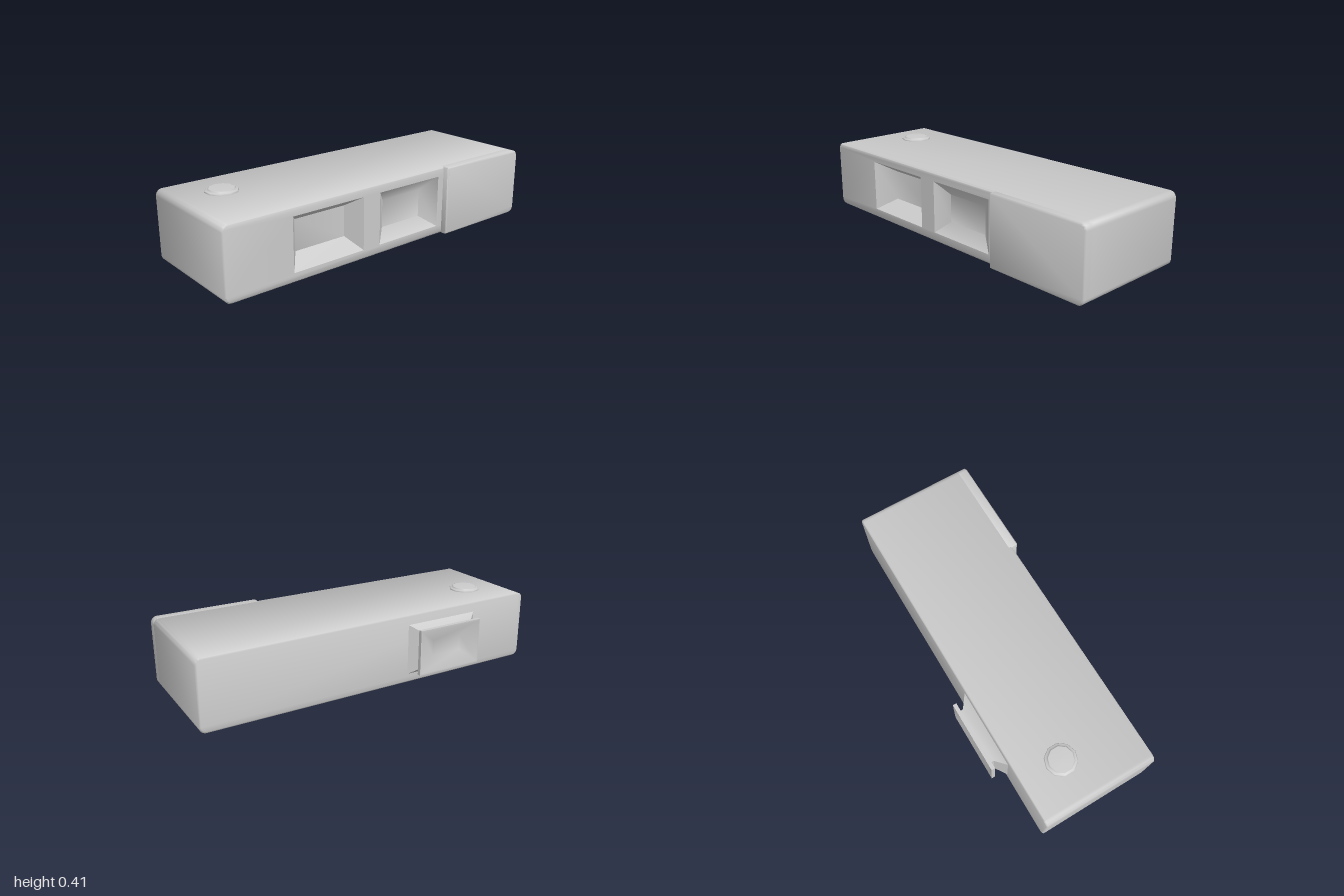
import * as THREE from 'three';
import { mergeGeometries, toCreasedNormals } from 'three/addons/utils/BufferGeometryUtils.js';

const material = new THREE.MeshStandardMaterial({ color: 0xcccccc });

// Counter-clockwise rectangle outline; rl and rr round its left and right corners.
function outline(x0, x1, y0, y1, rl = 0, rr = rl) {
  const points = [];
  const corners = [[x1, y0, rr, -1, 1], [x1, y1, rr, -1, -1], [x0, y1, rl, 1, -1], [x0, y0, rl, 1, 1]];
  corners.forEach(([x, y, r, sx, sy], k) => {
    const steps = r > 0 ? 6 : 0;
    for (let i = 0; i <= steps; i++) {
      const a = (k - 1 + (steps ? i / steps : 0)) * Math.PI / 2;
      points.push(new THREE.Vector2(x + sx * r + Math.cos(a) * r, y + sy * r + Math.sin(a) * r));
    }
  });
  return points;
}

// Skin through outlines [points, z]; faces outward as z rises, inward as z falls.
function loft(rings) {
  const pos = [];
  for (let k = 0; k < rings.length - 1; k++) {
    const [[a, za], [b, zb]] = [rings[k], rings[k + 1]];
    for (let i = 0; i < a.length; i++) {
      const j = (i + 1) % a.length;
      pos.push(a[i].x, a[i].y, za, a[j].x, a[j].y, za, b[j].x, b[j].y, zb);
      pos.push(a[i].x, a[i].y, za, b[j].x, b[j].y, zb, b[i].x, b[i].y, zb);
    }
  }
  return new THREE.BufferGeometry().setAttribute('position', new THREE.Float32BufferAttribute(pos, 3));
}

// Flat end face at z, facing +z, or -z when back is true.
function cap(points, z, holes = [], back = false) {
  const shape = new THREE.Shape(points);
  shape.holes = holes.map((h) => new THREE.Path(h));
  const g = new THREE.ShapeGeometry(shape).translate(0, 0, z);
  if (back) g.index.array.reverse();
  const flat = g.toNonIndexed();
  flat.deleteAttribute('uv');
  flat.deleteAttribute('normal');
  return flat;
}

function part(name, geometries, crease = 0.6) {
  const mesh = new THREE.Mesh(toCreasedNormals(mergeGeometries(geometries), crease), material);
  mesh.name = name;
  return mesh;
}

export function createModel() {
  const group = new THREE.Group();
  const e = 0.007;

  // Main case with softened ends and two openings in the front
  const lensOpening = outline(-0.62, -0.18, 0.05, 0.34);
  const finderOpening = outline(-0.07, 0.36, 0.05, 0.34);
  const full = outline(-1, 1, 0, 0.39, 0.035);
  const inset = outline(-1 + e, 1 - e, e, 0.39 - e, 0.03);
  group.add(part('case', [
    cap(inset, -0.302, [], true),
    loft([[inset, -0.302], [full, -0.302 + e], [full, 0.348 - e], [inset, 0.348]]),
    cap(inset, 0.348, [lensOpening, finderOpening]),
  ], 0.9));

  // Sloping front recesses
  const recesses = [
    ['lensRecess', lensOpening, outline(-0.54, -0.23, 0.11, 0.28), 0.1],
    ['viewfinderRecess', finderOpening, outline(0, 0.27, 0.115, 0.27), 0.06],
  ];
  for (const [name, opening, floor, depth] of recesses) {
    group.add(part(name, [
      loft([[opening, 0.348], [floor, 0.348 - depth]]),
      cap(floor, 0.348 - depth),
    ], 0.9));
  }

  // Raised grip block at the left end
  const block = outline(0.4, 1, 0, 0.39, 0.004, 0.035);
  const blockFace = outline(0.4 + e, 1 - e, e, 0.39 - e, 0.004, 0.03);
  group.add(part('gripBlock', [
    loft([[block, 0.33], [block, 0.385 - e], [blockFace, 0.385]]),
    cap(blockFace, 0.385),
  ], 0.9));

  // Rear eyepiece: funnel, rim, neck and flared base
  const eyeFloor = outline(-0.5, -0.32, 0.15, 0.235);
  const rim = outline(-0.61, -0.21, 0.065, 0.32);
  const neck = outline(-0.57, -0.25, 0.09, 0.293);
  group.add(part('eyepiece', [
    cap(eyeFloor, -0.35, [], true),
    loft([
      [eyeFloor, -0.35], [outline(-0.6, -0.22, 0.075, 0.31), -0.387], [rim, -0.387], [rim, -0.366],
      [neck, -0.366], [neck, -0.35], [outline(-0.635, -0.185, 0.048, 0.335), -0.3],
    ]),
  ], 0.9));

  // Stepped shutter button
  const profile = [[0.087, 0.38], [0.087, 0.394], [0.083, 0.398], [0.072, 0.398], [0.071, 0.406], [0.066, 0.408], [0, 0.409]];
  const button = new THREE.Mesh(
    new THREE.LatheGeometry(profile.map(([r, y]) => new THREE.Vector2(r, y)), 10), material);
  button.name = 'shutterButton';
  button.position.set(-0.755, 0, -0.066);
  group.add(button);

  return group;
}
